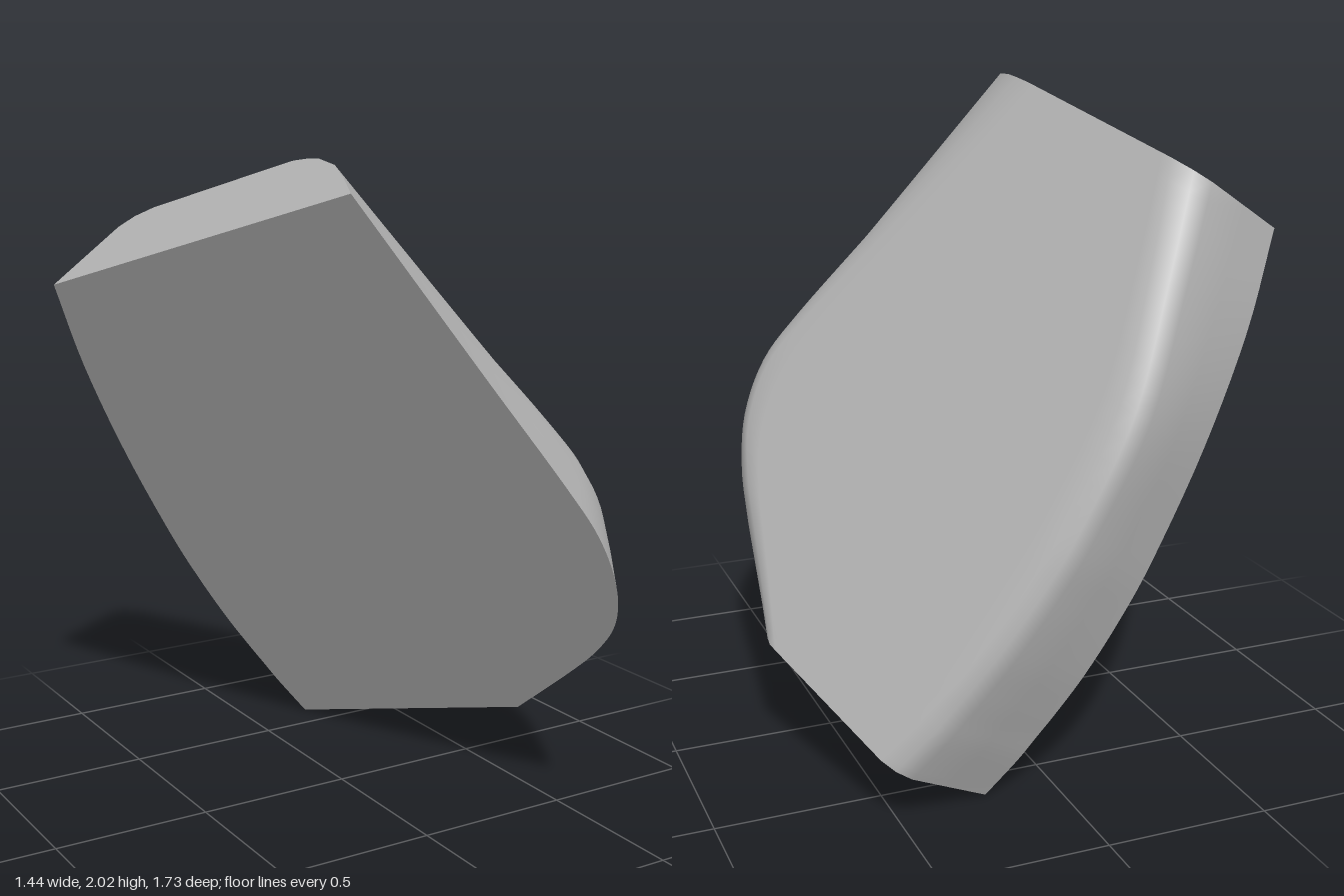
import * as THREE from 'three';

// Cross-sections along the slab: position, left edge at base, left edge near top,
// left bevel width, right edge at base, right bevel width
const STATIONS = [
  [0, 0, 0.025, 0.115, 1.286, 0.5],
  [0.3, -0.115, -0.1, 0.09, 1.327, 0.45],
  [0.65, -0.205, -0.235, 0.07, 1.375, 0.39],
  [1, -0.262, -0.285, 0.06, 1.425, 0.33],
  [1.2, -0.277, -0.29, 0.06, 1.44, 0.31],
  [1.38, -0.277, -0.28, 0.06, 1.405, 0.34],
  [1.52, -0.265, -0.262, 0.06, 1.33, 0.4],
  [1.62, -0.252, -0.246, 0.065, 1.215, 0.42],
  [1.71, -0.24, -0.23, 0.07, 1.06, 0.39],
  [1.855, -0.21, -0.195, 0.075, 0.775, 0.3],
];
const THICK = 0.4;

// Outline of one section as [across, height], left base over the top to right base
function profile(left, shoulder, inset, right, bevel) {
  const topL = shoulder + inset, topR = right - bevel;
  const points = [
    [left, 0], [(left + shoulder) / 2, 0.17], [shoulder, 0.33],
    [shoulder + inset * 0.35, 0.378], [topL, THICK],
  ];
  for (const t of [0.06, 0.35, 0.65, 0.94]) points.push([topL + (topR - topL) * t, THICK]);
  for (const [f, h] of [[1, 0.398], [0.86, 0.376], [0.72, 0.345], [0.46, 0.25], [0.22, 0.125], [0, 0]]) {
    points.push([right - bevel * f, h]);
  }
  return points;
}

function geometry(points, index) {
  const g = new THREE.BufferGeometry();
  g.setAttribute('position', new THREE.Float32BufferAttribute(points.flat(), 3));
  g.setIndex(index);
  g.computeVertexNormals();
  return g;
}

export function createModel() {
  const group = new THREE.Group();
  group.name = 'roundedSlab';
  const grey = new THREE.MeshStandardMaterial({ color: 0xb4b4b4 });
  grey.name = 'grey';

  // Smooth interpolation of the sections
  const curve = (a, b, c) => new THREE.CatmullRomCurve3(
    STATIONS.map((s) => new THREE.Vector3(s[a], s[b], s[c])), false, 'catmullrom', 0.5);
  const leftCurve = curve(0, 1, 2), rightCurve = curve(3, 4, 5);
  const steps = 45;
  const sections = [];
  for (let j = 0; j <= steps; j++) {
    const l = leftCurve.getPoint(j / steps), r = rightCurve.getPoint(j / steps);
    sections.push(profile(l.y, l.z, r.x, r.y, r.z).map(([u, n]) => [u, l.x, n]));
  }
  const count = sections[0].length;

  // Tilted frame: across, along, thickness
  const across = new THREE.Vector3(0.28, 0.257, 0.925).normalize();
  const thick = new THREE.Vector3(0.798, 0.475, -0.373).normalize();
  const along = new THREE.Vector3().crossVectors(thick, across).normalize();
  thick.crossVectors(across, along);
  const frame = new THREE.Matrix4().makeBasis(across, along, thick).setPosition(-0.72, 1.615, -0.55);

  const add = (name, points, index) => {
    const mesh = new THREE.Mesh(geometry(points, index).applyMatrix4(frame), grey);
    mesh.name = name;
    group.add(mesh);
  };

  // Curved sides and top
  const skin = [];
  for (let j = 0; j < steps; j++) {
    for (let i = 0; i < count - 1; i++) {
      const a = j * count + i, b = a + count;
      skin.push(a, a + 1, b + 1, a, b + 1, b);
    }
  }
  add('curvedTop', sections.flat(), skin);

  // Flat base
  const base = [];
  for (let j = 0; j < steps; j++) {
    const a = 2 * j;
    base.push(a, a + 2, a + 3, a, a + 3, a + 1);
  }
  add('flatBase', sections.flatMap((s) => [s[0], s[count - 1]]), base);

  // Flat ends
  const upper = [], lower = [];
  for (let i = 1; i < count - 1; i++) {
    upper.push(0, i + 1, i);
    lower.push(0, i, i + 1);
  }
  add('upperEnd', sections[0], upper);
  add('lowerEnd', sections[steps], lower);

  return group;
}
